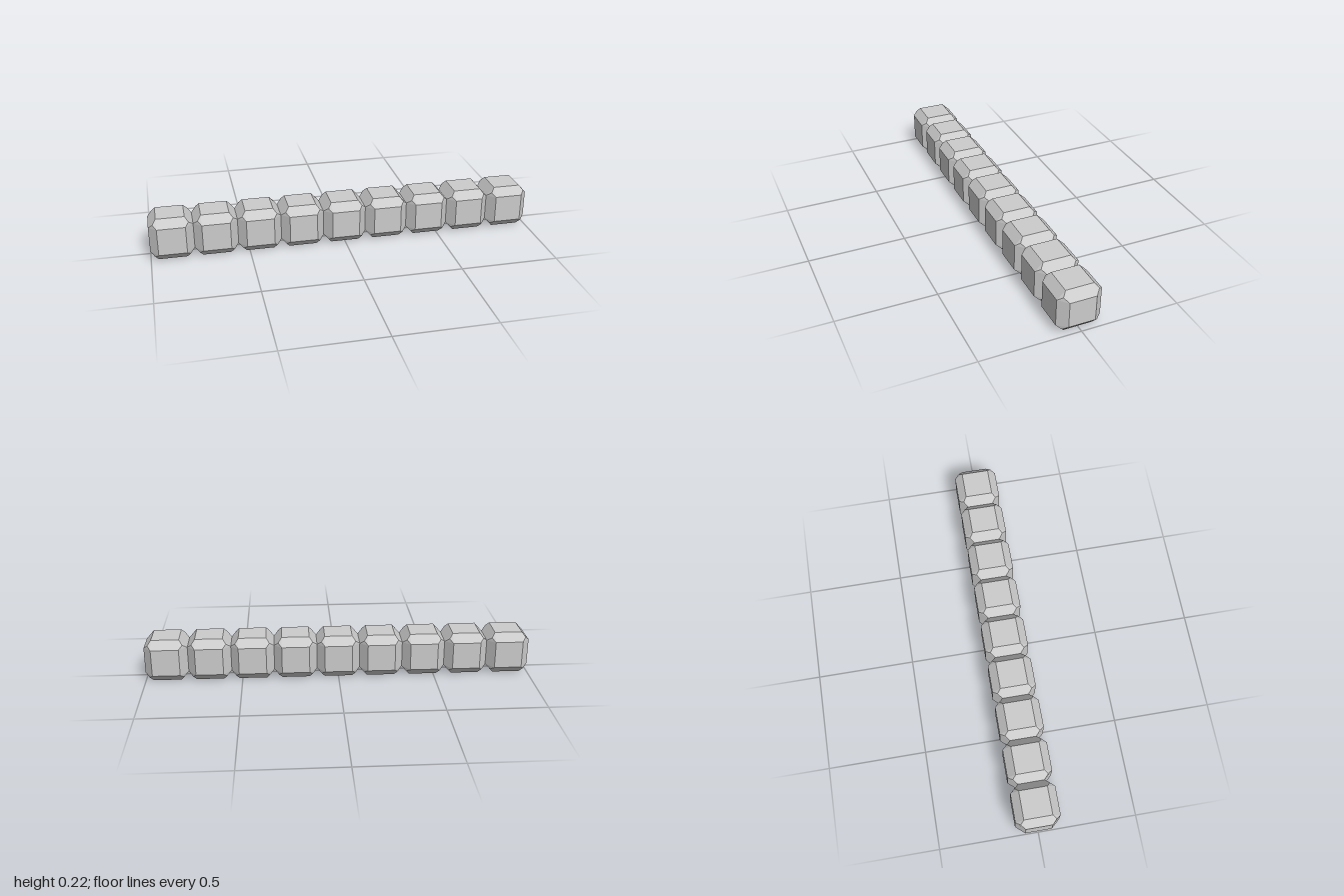
import * as THREE from 'three';
import { ConvexGeometry } from 'three/addons/geometries/ConvexGeometry.js';

const COUNT = 9;
const PITCH = 2 / COUNT;
const HALF_X = PITCH / 2;   // block half length along the bar
const HALF = 0.112;         // block half height and half depth
const FLAT = 0.071;         // half width of the flat faces
const END_FLAT = 0.067;     // half width of the end faces
const CORNER = 0.0885;      // cut corners, where three bevels meet

// Cube with every edge bevelled: six square faces joined by twelve hexagons
function bevelledCube() {
  const points = [];
  for (const x of [-1, 1]) for (const y of [-1, 1]) for (const z of [-1, 1]) {
    points.push(
      new THREE.Vector3(x * HALF_X, y * END_FLAT, z * END_FLAT),
      new THREE.Vector3(x * FLAT, y * HALF, z * FLAT),
      new THREE.Vector3(x * FLAT, y * FLAT, z * HALF),
      new THREE.Vector3(x * CORNER, y * CORNER, z * CORNER),
    );
  }
  return new ConvexGeometry(points);
}

export function createModel() {
  const model = new THREE.Group();
  model.name = 'blockBar';
  const material = new THREE.MeshStandardMaterial({ color: 0xcccccc, flatShading: true });
  const geometry = bevelledCube();

  // Row of blocks touching end to end
  for (let i = 0; i < COUNT; i++) {
    const block = new THREE.Mesh(geometry, material);
    block.name = `block${i + 1}`;
    block.position.set((i - (COUNT - 1) / 2) * PITCH, HALF, 0);
    model.add(block);
  }
  return model;
}
